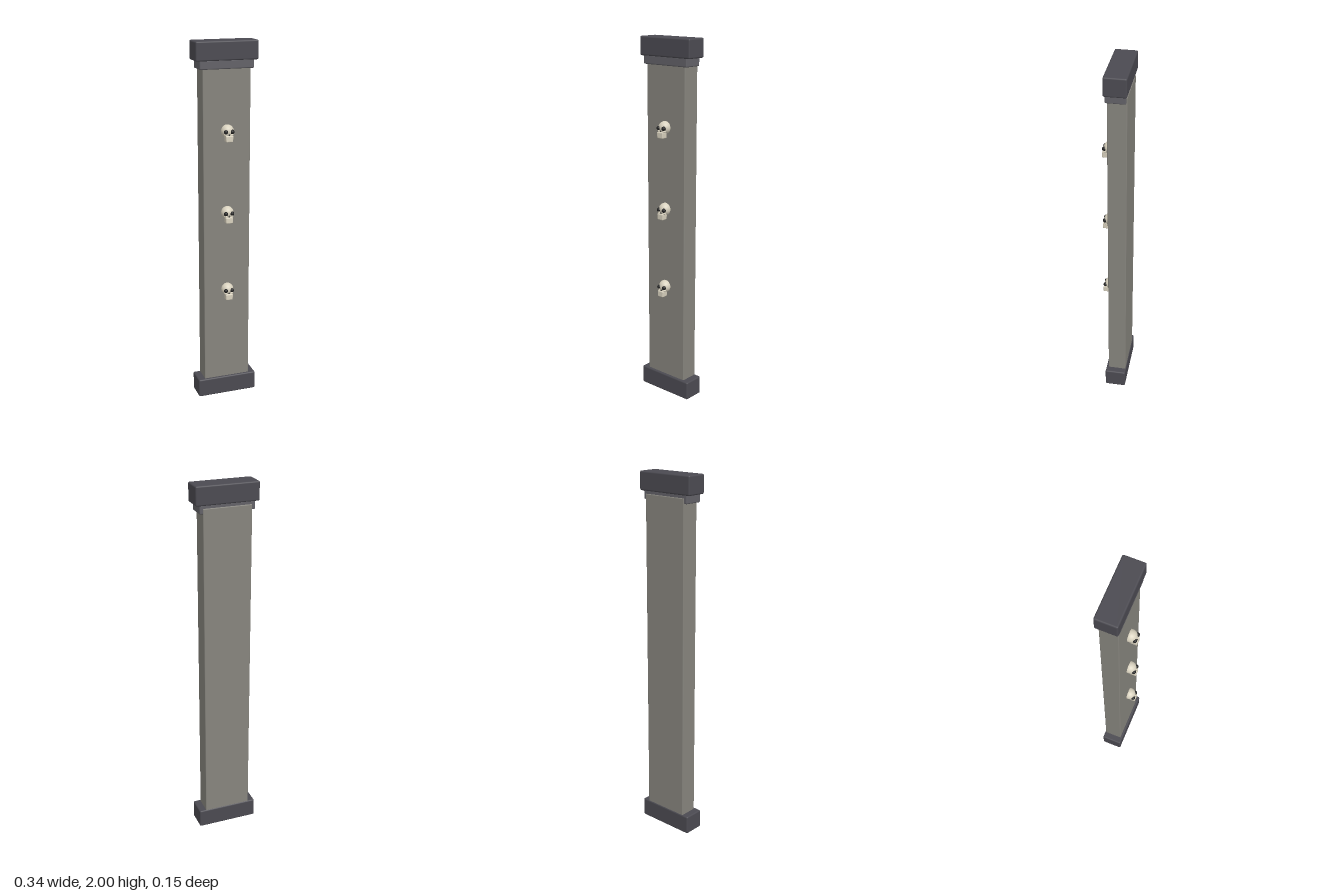
import * as THREE from 'three';
import { RoundedBoxGeometry } from 'three/addons/geometries/RoundedBoxGeometry.js';

const mat = (color) => new THREE.MeshStandardMaterial({ color });
const darkStone = mat(0x4b4a51);
const trimStone = mat(0x626167);
const stone = mat(0x86847d);
const bone = mat(0xd9d2bf);
const socketDark = mat(0x232323);

function add(parent, name, geometry, material, x, y, z) {
  const mesh = new THREE.Mesh(geometry, material);
  mesh.name = name;
  mesh.position.set(x, y, z);
  parent.add(mesh);
  return mesh;
}

// Box with softened edges, given by its extents in y and z, centred on x
function block(parent, name, width, y0, y1, z0, z1, radius, material) {
  const geometry = new RoundedBoxGeometry(width, y1 - y0, z1 - z0, 3, radius);
  return add(parent, name, geometry, material, 0, (y0 + y1) / 2, (z0 + z1) / 2);
}

// Skull ornament; its origin lies at eye height on the column's face
function createSkull() {
  const skull = new THREE.Group();
  skull.name = 'skull';
  const cranium = add(skull, 'cranium', new THREE.SphereGeometry(0.034, 24, 16), bone, 0, 0.001, 0.007);
  cranium.scale.set(1, 1, 1.03);

  // Jaw narrows towards the chin
  const jaw = new RoundedBoxGeometry(0.043, 0.034, 0.036, 2, 0.005);
  const p = jaw.attributes.position;
  for (let i = 0; i < p.count; i++) {
    p.setX(i, p.getX(i) * (0.93 + 2.5 * p.getY(i)));
  }
  jaw.computeVertexNormals();
  add(skull, 'jaw', jaw, bone, 0, -0.036, 0.03);

  for (const side of [-1, 1]) {
    add(skull, 'eyeSocket', new THREE.SphereGeometry(0.0115, 16, 12), socketDark, side * 0.0175, 0, 0.036);
    const cheek = add(skull, 'cheekbone', new THREE.SphereGeometry(0.01, 12, 8), bone, side * 0.016, -0.016, 0.031);
    cheek.scale.set(1, 0.8, 1);
  }
  const nose = add(skull, 'noseHole', new THREE.ConeGeometry(0.005, 0.011, 3), socketDark, 0, -0.013, 0.041);
  nose.scale.z = 0.7;
  return skull;
}

export function createModel() {
  const model = new THREE.Group();
  model.name = 'column';

  // Column body with its base and capital
  block(model, 'base', 0.34, 0, 0.105, -0.077, 0.04, 0.008, darkStone);
  block(model, 'shaft', 0.262, 0.095, 1.885, -0.073, 0.027, 0.004, stone);
  block(model, 'neck', 0.296, 1.857, 1.905, -0.069, 0.035, 0.006, trimStone);
  block(model, 'capital', 0.34, 1.9, 2, -0.077, 0.04, 0.008, darkStone);

  // Three skulls up the front
  for (let i = 0; i < 3; i++) {
    const skull = createSkull();
    skull.position.set(0, 0.645 + i * 0.445, 0.027);
    model.add(skull);
  }
  return model;
}
